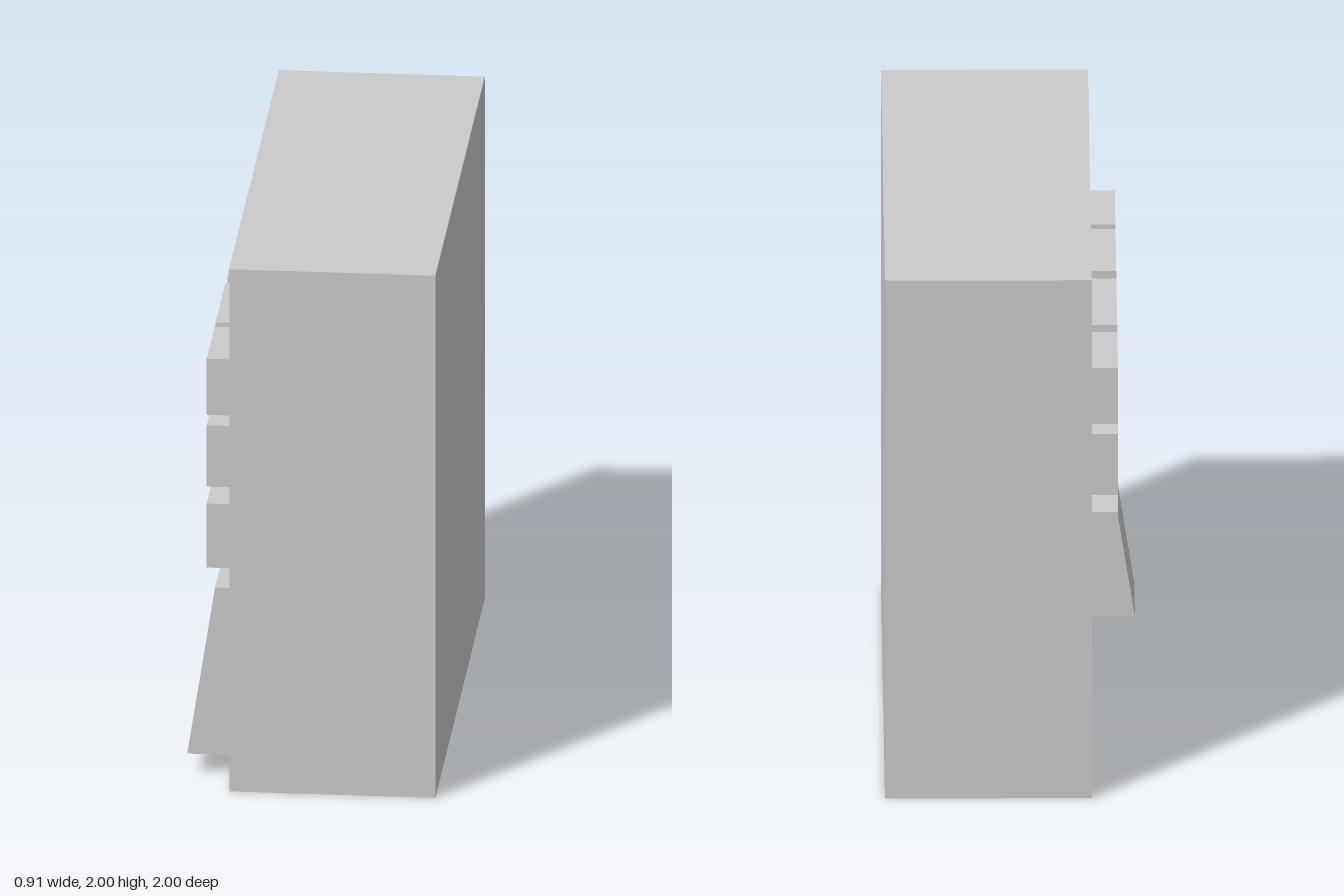
import * as THREE from 'three';
import { mergeGeometries } from 'three/addons/utils/BufferGeometryUtils.js';

const FACE = -0.29; // x of the control face

// Box given by its limits
function boxBetween(x0, x1, y0, y1, z0, z1) {
  return new THREE.BoxGeometry(x1 - x0, y1 - y0, z1 - z0)
    .translate((x0 + x1) / 2, (y0 + y1) / 2, (z0 + z1) / 2);
}

// Remove the -x side of a box; optionally turn the rest to face inward
function openBox(geometry, inward) {
  const index = Array.from(geometry.index.array);
  index.splice(6, 6);
  if (inward) index.reverse();
  geometry.setIndex(index);
  geometry.clearGroups();
  geometry.computeVertexNormals();
  return geometry;
}

function rectangle(path, x0, x1, y0, y1) {
  return path.moveTo(x0, y0).lineTo(x1, y0).lineTo(x1, y1).lineTo(x0, y1).closePath();
}

export function createModel() {
  const group = new THREE.Group();
  const material = new THREE.MeshStandardMaterial({ color: 0xcccccc, flatShading: true });
  const add = (name, geometry) => {
    const mesh = new THREE.Mesh(geometry, material);
    mesh.name = name;
    group.add(mesh);
  };

  // Cabinet: shell, control face with an opening, and the tray recess behind it
  const face = rectangle(new THREE.Shape(), -1, 1, 0, 2);
  face.holes.push(rectangle(new THREE.Path(), -0.84, 0.48, 0.08, 0.72));
  add('cabinet', mergeGeometries([
    openBox(boxBetween(FACE, 0.45, 0, 2, -1, 1), false),
    new THREE.ShapeGeometry(face).rotateY(-Math.PI / 2).translate(FACE, 0, 0),
    openBox(boxBetween(FACE, FACE + 0.12, 0.08, 0.72, -0.84, 0.48), true),
  ]));

  // Raised blocks in three rows and four columns
  const rows = [[0.795, 1.04], [1.105, 1.34], [1.38, 1.595]];
  const columns = [[-0.84, -0.495], [-0.43, 0.01], [0.08, 0.48], [0.525, 0.845]];
  rows.forEach(([y0, y1], r) => columns.forEach(([z0, z1], c) => {
    add(`blockRow${r + 1}Column${c + 1}`, boxBetween(-0.385, FACE, y0, y1, z0, z1));
  }));

  // Sloping wedge beside the recess
  const wedge = new THREE.Shape([
    new THREE.Vector2(-0.455, 0.08), new THREE.Vector2(FACE, 0.08),
    new THREE.Vector2(FACE, 0.72), new THREE.Vector2(-0.355, 0.72),
  ]);
  add('wedge', new THREE.ExtrudeGeometry(wedge, { depth: 0.32, bevelEnabled: false })
    .translate(0, 0, 0.525));

  return group;
}
